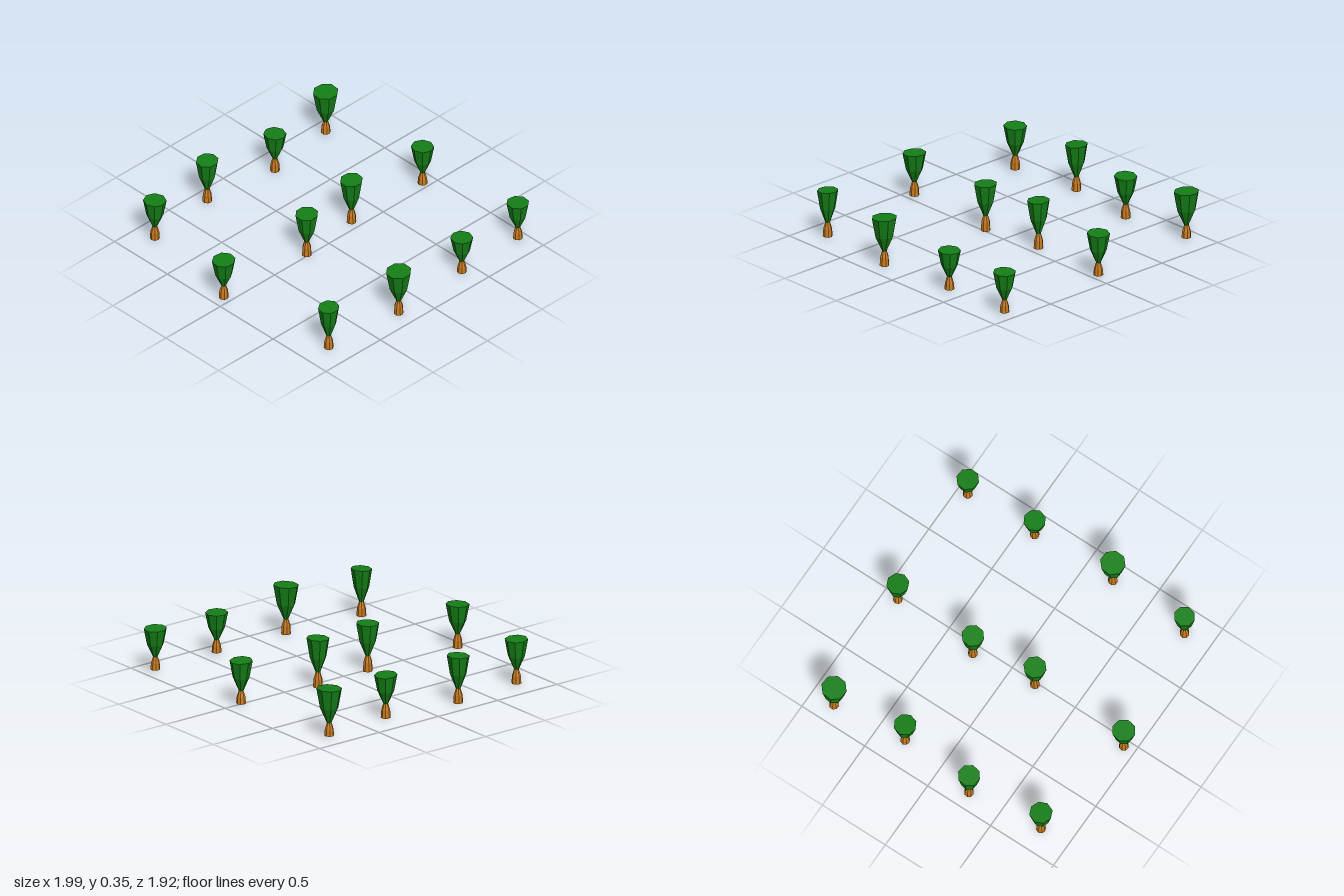
import * as THREE from 'three';

// One row per tree: x, z, crown radius, base height, top height, spin, top slope in x
const TREES = [
  [-0.79, -0.835, 0.078, 0.01, 0.32, 0.0, -0.03],
  [-0.255, -0.89, 0.076, 0.01, 0.34, 0.25, 0.06],
  [0.30, -0.82, 0.077, 0.01, 0.31, 0.1, -0.06],
  [0.825, -0.88, 0.086, 0.02, 0.35, 0.3, 0.05],
  [-0.92, -0.05, 0.079, 0.01, 0.315, 0.2, 0.05],
  [-0.19, -0.015, 0.078, 0.0, 0.335, 0.35, 0.04],
  [0.27, -0.065, 0.077, 0.005, 0.348, 0.3, 0.06],
  [0.89, -0.03, 0.077, 0.02, 0.32, 0.0, -0.05],
  [-0.81, 0.83, 0.071, 0.01, 0.34, 0.2, 0.07],
  [-0.21, 0.875, 0.086, 0.005, 0.348, 0.35, 0.06],
  [0.395, 0.85, 0.076, 0.02, 0.298, 0.1, -0.03],
  [0.92, 0.84, 0.077, 0.02, 0.307, 0.3, -0.04],
];

const SIDES = 8;
const leafMaterial = new THREE.MeshStandardMaterial({ color: 0x158017, flatShading: true });
const barkMaterial = new THREE.MeshStandardMaterial({ color: 0xc87a1e, flatShading: true });

// Faceted solid of revolution from [radius, height] pairs, bottom to top
function faceted(profile, name, material, spin) {
  const points = profile.map(([r, y]) => new THREE.Vector2(r, y));
  const geometry = new THREE.LatheGeometry(points, SIDES).toNonIndexed();
  geometry.rotateY(spin);
  geometry.computeVertexNormals();
  const mesh = new THREE.Mesh(geometry, material);
  mesh.name = name;
  return mesh;
}

function createTree([x, z, radius, base, top, spin, slope]) {
  const tree = new THREE.Group();
  tree.name = 'tree';
  const neck = 0.105;

  // Trunk flares towards the ground
  tree.add(faceted([
    [0, base], [0.033, base], [0.029, 0.065], [0.014, neck + 0.01], [0, neck + 0.01],
  ], 'trunk', barkMaterial, spin));

  // Crown widens from the neck to a flat top
  const at = (t) => neck + (top - neck) * t;
  const crown = faceted([
    [0, neck], [0.014, neck], [radius * 0.72, at(0.45)], [radius, top], [0, top],
  ], 'crown', leafMaterial, spin);

  // Tilt the crown's top a little
  const p = crown.geometry.attributes.position;
  for (let i = 0; i < p.count; i++) {
    const t = (p.getY(i) - neck) / (top - neck);
    p.setY(i, p.getY(i) + slope * t * p.getX(i));
  }
  crown.geometry.computeVertexNormals();
  tree.add(crown);

  tree.position.set(x, 0, z);
  return tree;
}

export function createModel() {
  const grove = new THREE.Group();
  grove.name = 'grove';
  TREES.forEach((row) => grove.add(createTree(row)));
  return grove;
}
